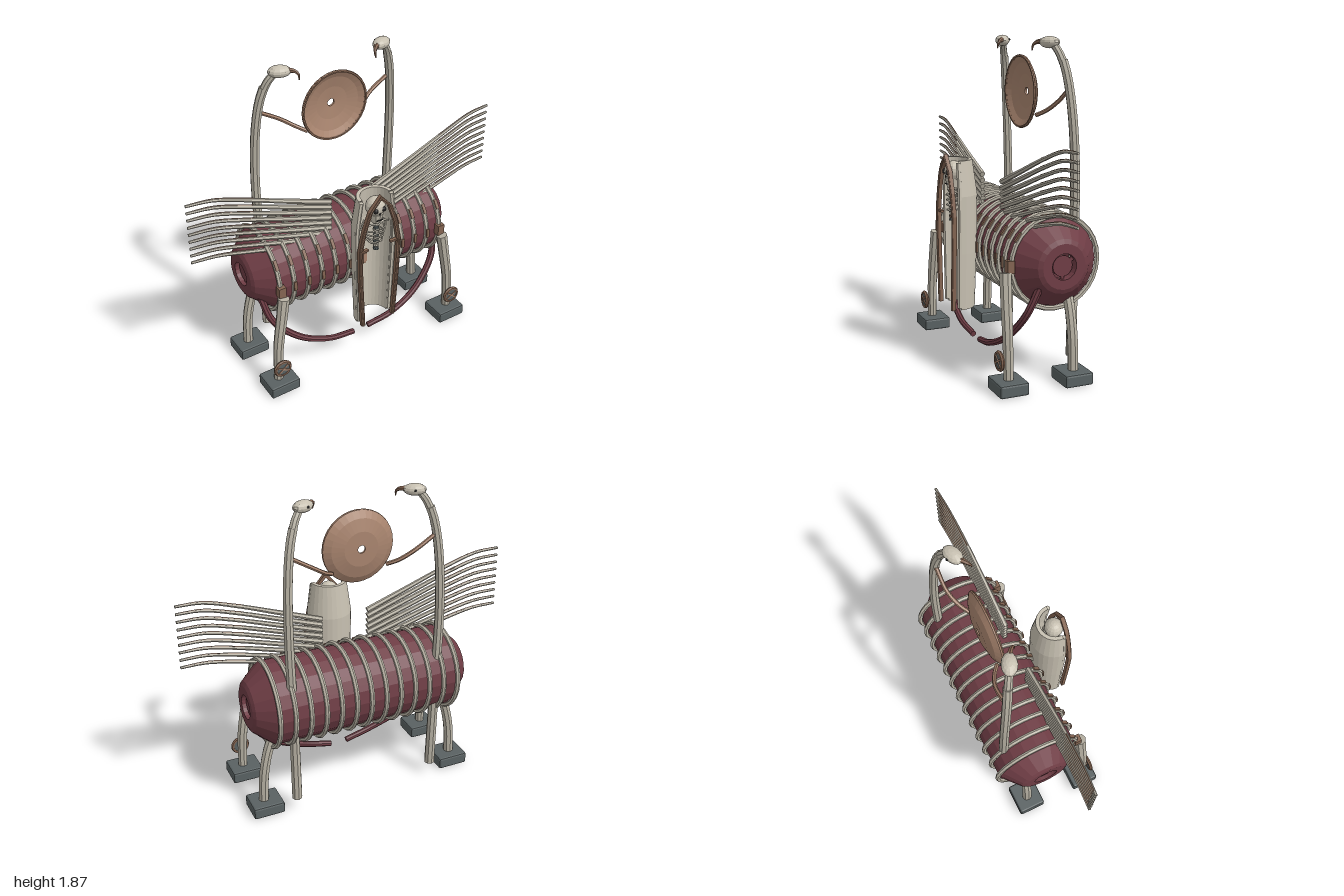
import * as THREE from 'three';
import { RoundedBoxGeometry } from 'three/addons/geometries/RoundedBoxGeometry.js';

const V = (x, y, z) => new THREE.Vector3(x, y, z);

export function createModel() {
  const root = new THREE.Group();
  root.name = 'skeletalCarriage';
  const mat = (name, color) => new THREE.MeshStandardMaterial({ name, color, flatShading: true, side: THREE.DoubleSide });
  const bone = mat('bone', 0xb9b3a5);
  const pale = mat('paleShell', 0xc8c1b2);
  const maroon = mat('maroonHide', 0x6f3d45);
  const copper = mat('copper', 0xa9856f);
  const brown = mat('brownTrim', 0x846552);
  const slate = mat('slate', 0x596162);
  const dark = mat('darkSocket', 0x2c2b2b);

  const add = (name, geo, m, parent = root) => {
    const mesh = new THREE.Mesh(geo, m);
    mesh.name = name;
    parent.add(mesh);
    return mesh;
  };

  // Tapered tube with flat ends
  const tube = (pts, r0, r1 = r0, segs = 20, sides = 8) => {
    const curve = new THREE.CatmullRomCurve3(pts);
    const n = segs + 2;
    const geo = new THREE.TubeGeometry(curve, n, 1, sides, false);
    const p = geo.attributes.position, v = new THREE.Vector3();
    for (let i = 0; i <= n; i++) {
      const old = curve.getPointAt(i / n);
      const u = THREE.MathUtils.clamp((i - 1) / segs, 0, 1);
      const c = curve.getPointAt(u);
      const r = i === 0 || i === n ? 0 : THREE.MathUtils.lerp(r0, r1, u);
      for (let j = 0; j <= sides; j++) {
        const k = i * (sides + 1) + j;
        v.fromBufferAttribute(p, k).sub(old).multiplyScalar(r).add(c);
        p.setXYZ(k, v.x, v.y, v.z);
      }
    }
    geo.computeVertexNormals();
    return geo;
  };

  // Barrel body lying along x, hollow, with chamfered ends
  const body = new THREE.Group();
  body.name = 'body';
  body.position.set(0, 0.67, -0.085);
  root.add(body);
  const half = [[0.072, 0.62], [0.072, 0.672], [0.125, 0.672], [0.15, 0.66], [0.245, 0.55]];
  const profile = [...half.map(([r, x]) => [r, -x]), ...half.slice().reverse()];
  add('barrel', new THREE.LatheGeometry(profile.map(([r, x]) => new THREE.Vector2(r, x)), 20), maroon, body)
    .rotation.z = -Math.PI / 2;
  for (const s of [-1, 1]) {
    const hub = add('endHub', new THREE.CylinderGeometry(0.058, 0.058, 0.02, 16), maroon, body);
    hub.rotation.z = Math.PI / 2;
    hub.position.x = s * 0.64;
    for (let i = 0; i < 3; i++) {
      const a = i * 2.1 + 0.5;
      const tab = add('hubTab', new THREE.BoxGeometry(0.015, 0.02, 0.02), maroon, body);
      tab.position.set(s * 0.64, Math.sin(a) * 0.065, Math.cos(a) * 0.065);
      tab.rotation.x = -a;
    }
  }

  // Thirteen hoops round the barrel
  for (let i = 0; i < 13; i++) {
    const hoop = add('hoop', new THREE.TorusGeometry(0.257, 0.0145, 6, 28), bone, body);
    hoop.rotation.y = Math.PI / 2;
    hoop.position.x = (i - 6) * 0.0927;
    for (const a of [0.02, 0.62]) {
      const clip = add('hoopClip', new THREE.BoxGeometry(0.02, 0.06, 0.008), brown, body);
      clip.position.set(hoop.position.x, Math.sin(a) * 0.27, Math.cos(a) * 0.27);
      clip.rotation.x = -a;
    }
  }

  for (const s of [-1, 1]) {
    // Front and rear legs with feet
    const P = (x, y, z) => V(s * x, y, z);
    add('frontLeg', tube([P(0.555, 0.64, 0.205), P(0.575, 0.52, 0.21), P(0.61, 0.3, 0.215), P(0.62, 0.07, 0.215)], 0.035, 0.028), bone);
    add('hipJoint', new THREE.BoxGeometry(0.045, 0.07, 0.04), brown).position.set(s * 0.555, 0.67, 0.18);
    add('rearLeg', tube([P(0.54, 0.51, -0.165), P(0.58, 0.4, -0.168), P(0.61, 0.25, -0.17), P(0.62, 0.07, -0.17)], 0.03), bone);
    for (const z of [0.212, -0.17])
      add('foot', new RoundedBoxGeometry(0.19, 0.072, 0.168, 1, 0.012), slate).position.set(s * 0.612, 0.036, z);

    // Ankle medallion
    const disc = new THREE.Group();
    disc.name = 'medallion';
    disc.position.set(s * 0.615, 0.18, 0.265);
    root.add(disc);
    add('medallionRim', new THREE.TorusGeometry(0.047, 0.011, 6, 16), brown, disc);
    add('medallionFace', new THREE.CylinderGeometry(0.045, 0.045, 0.014, 16), slate, disc).rotation.x = Math.PI / 2;
    for (const a of [0.5, -0.7]) {
      const bar = add('medallionBar', new THREE.BoxGeometry(0.08, 0.009, 0.008), copper, disc);
      bar.position.z = 0.008;
      bar.rotation.z = s * a;
    }
    const mount = add('medallionMount', new THREE.CylinderGeometry(0.014, 0.014, 0.04, 8), brown, disc);
    mount.rotation.x = Math.PI / 2;
    mount.position.z = -0.02;

    // Drooping hose
    add('hose', tube([P(0.615, 0.56, 0.03), P(0.575, 0.4, 0.09), P(0.42, 0.235, 0.14), P(0.23, 0.145, 0.16), P(0.053, 0.107, 0.15)], 0.022, 0.018, 28), maroon);

    // Long neck and bird head
    add('neck', tube([P(0.44, 0.085, -0.25), P(0.448, 0.6, -0.253), P(0.46, 1.15, -0.25), P(0.45, 1.45, -0.235),
      P(0.425, 1.65, -0.215), P(0.4, 1.74, -0.2)], 0.031, 0.026, 26), bone);
    add('nape', tube([P(0.405, 1.72, -0.202), P(0.38, 1.78, -0.185), P(0.345, 1.83, -0.165)], 0.024, 0.021, 8), bone);
    const head = add('birdHead', new THREE.SphereGeometry(1, 12, 8), pale);
    head.scale.set(0.065, 0.033, 0.043);
    head.position.set(s * 0.325, 1.835, -0.155);
    head.rotation.y = s * 0.4;
    add('beak', tube([P(0.285, 1.838, -0.135), P(0.258, 1.836, -0.113), P(0.243, 1.82, -0.095), P(0.244, 1.79, -0.088)], 0.017, 0.003, 10, 6), brown);
    for (const z of [-0.117, -0.193])
      add('birdEye', new THREE.SphereGeometry(0.008, 6, 4), dark).position.set(s * 0.31, 1.84, z);

    // Bracket from neck to dish
    add('dishBracket', tube([P(0.43, 1.59, -0.225), P(0.3, 1.51, -0.222), P(0.22, 1.455, -0.19), P(0.165, 1.425, -0.15)], 0.012, 0.012, 14, 6), copper);

    // Fanned wing of nine slender quills
    for (let i = 0; i < 9; i++) {
      const tip = 1.32 - i * 0.046, base = 1.055 - i * 0.036, z = 0.05 - i * 0.0005;
      const drop = tip - base;
      add('quill', tube([P(0.145, base, z), P(0.4, base + drop * 0.36, z - 0.005), P(0.65, base + drop * 0.72, z - 0.013),
        P(0.85, base + drop * 0.96, z - 0.025), P(0.998, tip, z - 0.036)], 0.017, 0.008, 18, 6), bone);
      add('quillEdge', tube([P(0.62, base + drop * 0.68 + 0.011, z - 0.014), P(0.85, base + drop * 0.96 + 0.009, z - 0.027),
        P(0.97, tip + 0.005, z - 0.036)], 0.004, 0.003, 8, 4), brown);
    }
  }

  // Pierced dish, concave to the front
  const dish = new THREE.Group();
  dish.name = 'dish';
  dish.position.set(0, 1.55, -0.18);
  root.add(dish);
  const dishPts = [[0.022, 0.012], [0.1, 0.02], [0.165, 0.036], [0.2, 0.055], [0.21, 0.06], [0.21, 0.045],
    [0.17, 0.02], [0.1, 0.002], [0.022, 0], [0.022, 0.012]];
  add('dishBowl', new THREE.LatheGeometry(dishPts.map(([r, z]) => new THREE.Vector2(r, z)), 32), copper, dish).rotation.x = Math.PI / 2;
  const rim = add('dishRim', new THREE.TorusGeometry(0.204, 0.008, 6, 32), brown, dish);
  rim.position.z = 0.054;

  // Upright half-pipe niche, open to the front
  const wall = [[0.12, 0.32], [0.132, 0.65], [0.138, 0.98], [0.11, 1.18], [0.088, 1.18], [0.108, 0.98], [0.102, 0.65], [0.092, 0.32], [0.12, 0.32]];
  add('niche', new THREE.LatheGeometry(wall.map(([r, y]) => new THREE.Vector2(r, y)), 14, Math.PI / 2, Math.PI), pale)
    .position.z = 0.29;
  for (const s of [-1, 1])
    add('nicheLip', tube([V(s * 0.106, 0.33, 0.295), V(s * 0.117, 0.65, 0.295), V(s * 0.123, 0.98, 0.295), V(s * 0.1, 1.17, 0.295)], 0.014, 0.014, 12, 6), pale);

  // Pointed arch frame
  const arch = (w) => {
    const o = 0.142 - w;
    return [[0.118 - w, 0.32], [o - 0.006, 0.65], [o, 0.87], [o - 0.025, 1.0], [o - 0.065, 1.12], [0, 1.21 - w * 1.3]];
  };
  for (const s of [-1, 1]) {
    const pts = [...arch(0), ...arch(0.024).reverse()].map(([x, y]) => new THREE.Vector2(s * x, y));
    add('archFrame', new THREE.ExtrudeGeometry(new THREE.Shape(pts), { depth: 0.022, bevelEnabled: false }), brown).position.z = 0.322;
    add('archInlay', tube(arch(0.012).map(([x, y]) => V(s * x, y, 0.345)), 0.005, 0.005, 20, 5), copper);
    add('archTie', new THREE.BoxGeometry(0.05, 0.012, 0.02), brown).position.set(s * 0.1, 0.865, 0.33);
  }
  add('nichePlaque', new THREE.BoxGeometry(0.025, 0.06, 0.009), copper).position.set(0, 0.69, 0.19);

  // Small skeleton bust in the niche
  const skull = add('skull', new THREE.SphereGeometry(1, 14, 10), pale);
  skull.scale.set(0.058, 0.06, 0.055);
  skull.position.set(0, 1.11, 0.285);
  add('jaw', new THREE.CylinderGeometry(0.042, 0.028, 0.06, 10), pale).position.set(0, 1.045, 0.297);
  add('teeth', new THREE.BoxGeometry(0.04, 0.005, 0.006), dark).position.set(0, 1.04, 0.333);
  add('nose', new THREE.BoxGeometry(0.01, 0.016, 0.006), dark).position.set(0, 1.08, 0.333);
  for (const s of [-1, 1]) {
    const eye = add('eyeSocket', new THREE.SphereGeometry(0.016, 8, 6), dark);
    eye.position.set(s * 0.026, 1.107, 0.329);
    add('collarbone', tube([V(0, 0.995, 0.31), V(s * 0.05, 1.005, 0.3), V(s * 0.095, 0.98, 0.28)], 0.007, 0.007, 8, 5), bone);
    for (let i = 0; i < 4; i++) {
      const y = 0.975 - i * 0.028, w = 0.075 - i * 0.009;
      add('bustRib', tube([V(0, y, 0.325), V(s * w * 0.7, y - 0.008, 0.312), V(s * w, y + 0.01, 0.27), V(s * w * 0.5, y + 0.02, 0.23)], 0.006, 0.005, 10, 5), bone);
    }
  }
  for (let i = 0; i < 8; i++)
    add('vertebra', new THREE.CylinderGeometry(0.015, 0.018, 0.014, 8), i % 2 ? slate : bone).position.set(0, 1.0 - i * 0.024, 0.3);

  return root;
}
